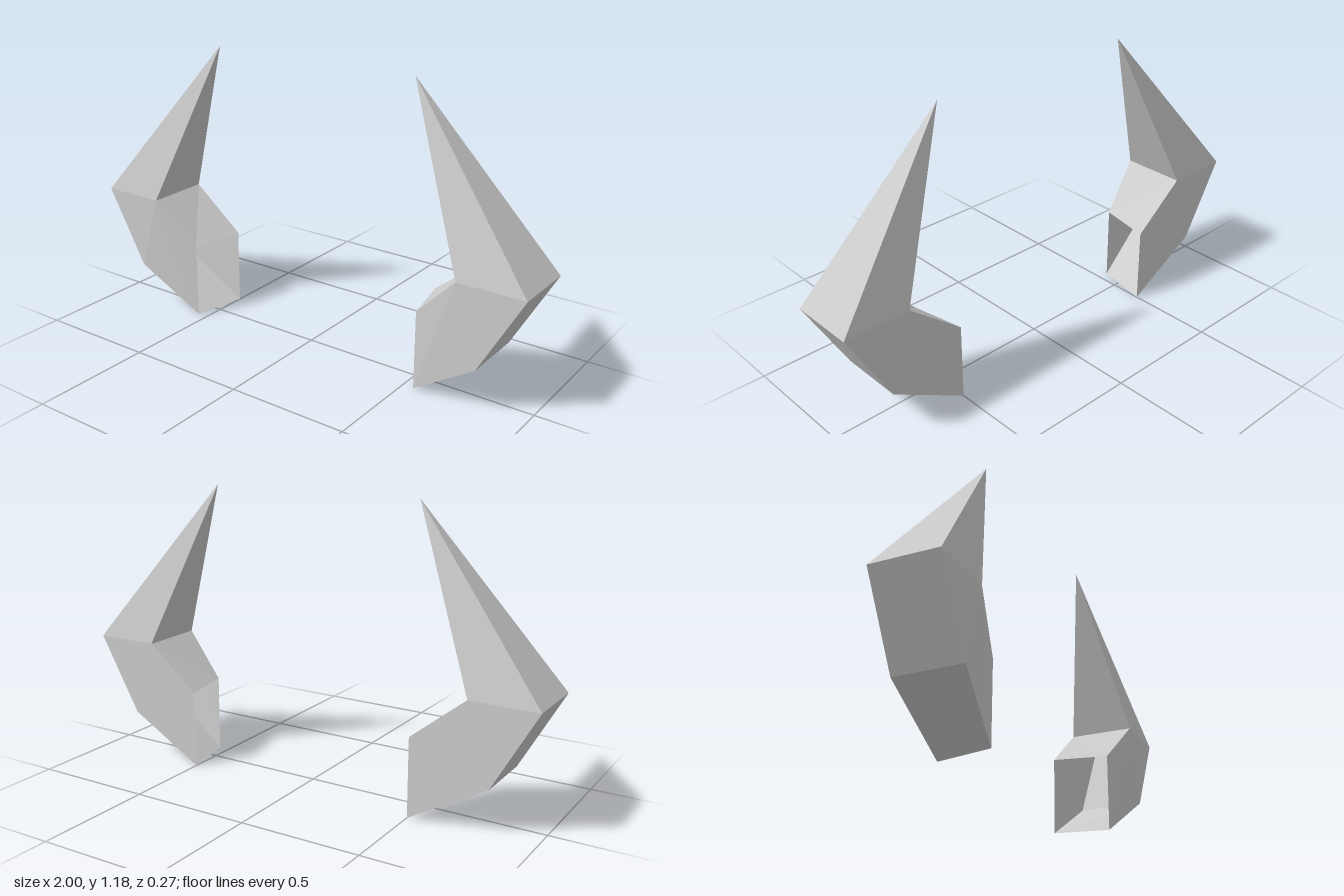
import * as THREE from 'three';

// One curved horn, skinned through four-cornered sections.
// Corner order: inner front, outer front, outer back, inner back.
function hornGeometry(side) {
  const d = 0.136;
  const section = (inner, outer, front = d, back = -d) => [
    [...inner, front], [...outer, front], [...outer, back], [...inner, back],
  ];
  const tip = [0.455, 1.18];
  const sections = [
    // slanted open root
    [[0.545, 0.322, 0.09], [0.545, 0, 0.09], [0.5, 0, -d], [0.5, 0.322, -d]],
    section([0.725, 0.503], [0.82, 0.183]), // lower bend
    section([0.725, 0.503], [1, 0.503]), // elbow
    section(tip, tip, 0, 0), // point
  ];

  const positions = [];
  const addTriangle = (a, b, c) => {
    const pts = (side > 0 ? [a, b, c] : [a, c, b])
      .map(([x, y, z]) => new THREE.Vector3(x * side, y, z));
    // sections share corners at the bend and the point: skip empty triangles
    if (new THREE.Triangle(...pts).getArea() < 1e-6) return;
    pts.forEach((p) => positions.push(p.x, p.y, p.z));
  };

  for (let s = 0; s < sections.length - 1; s++) {
    const a = sections[s], b = sections[s + 1];
    for (let i = 0; i < 4; i++) {
      const j = (i + 1) % 4;
      addTriangle(a[i], a[j], b[i]);
      addTriangle(a[j], b[j], b[i]);
    }
  }

  const geometry = new THREE.BufferGeometry();
  geometry.setAttribute('position', new THREE.Float32BufferAttribute(positions, 3));
  geometry.computeVertexNormals();
  return geometry;
}

export function createModel() {
  const group = new THREE.Group();
  group.name = 'horns';
  const material = new THREE.MeshStandardMaterial({
    color: 0xcccccc, flatShading: true, side: THREE.DoubleSide,
  });
  for (const [name, side] of [['leftHorn', 1], ['rightHorn', -1]]) {
    const horn = new THREE.Mesh(hornGeometry(side), material);
    horn.name = name;
    group.add(horn);
  }
  return group;
}
